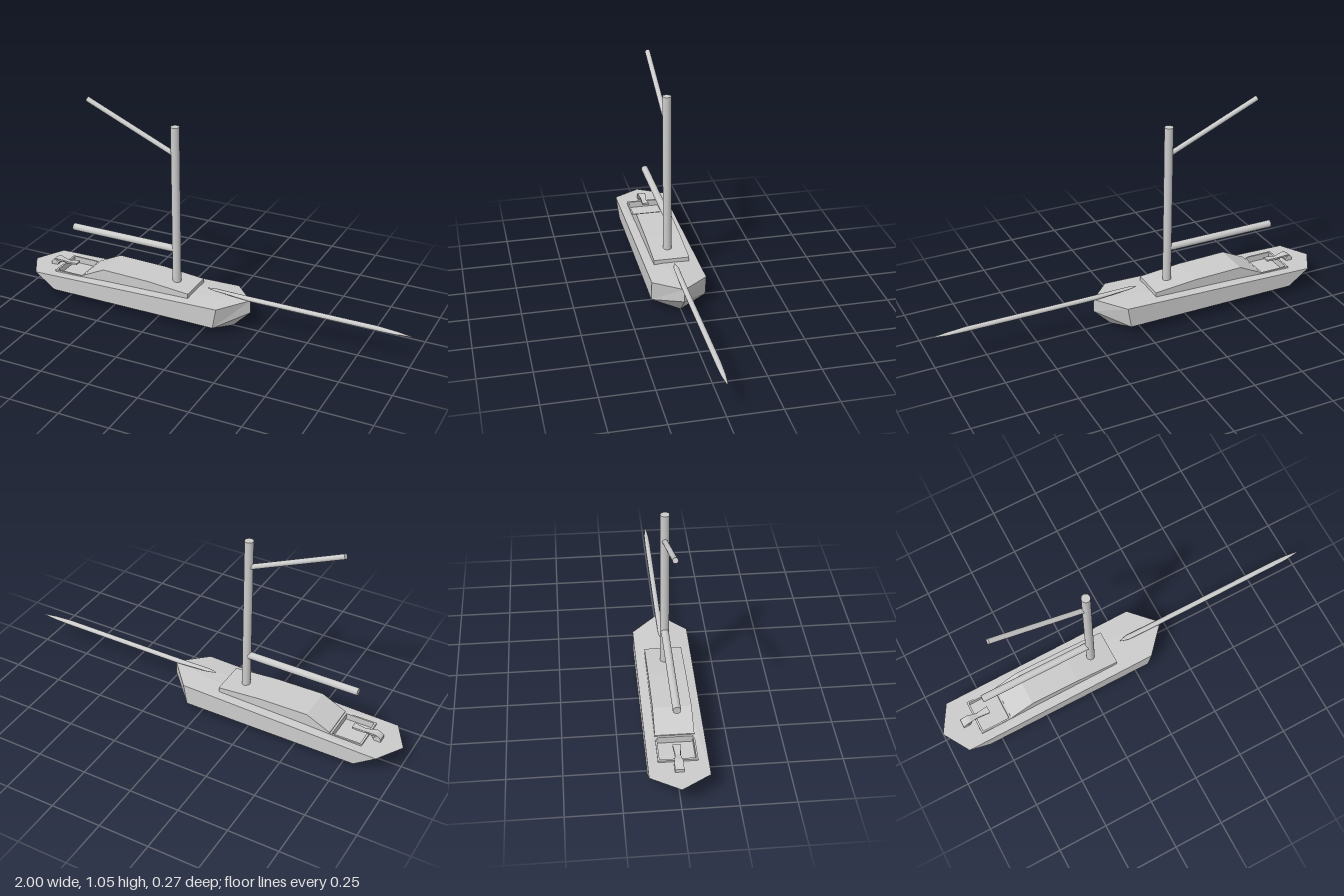
import * as THREE from 'three';

const flat = new THREE.MeshStandardMaterial({ color: 0xcccccc, flatShading: true, side: THREE.DoubleSide });
const smooth = new THREE.MeshStandardMaterial({ color: 0xcccccc });

const deckY = (x) => 0.114 + 0.027 * (x + 1) + Math.max(0, x - 0.085) * 0.08;

function add(parent, name, geometry, material = flat) {
  const mesh = new THREE.Mesh(geometry, material);
  mesh.name = name;
  parent.add(mesh);
  return mesh;
}

function box(parent, name, x0, x1, y0, y1, z0, z1) {
  const mesh = add(parent, name, new THREE.BoxGeometry(x1 - x0, y1 - y0, z1 - z0));
  mesh.position.set((x0 + x1) / 2, (y0 + y1) / 2, (z0 + z1) / 2);
}

// Round pole between two points in the centre plane
function pole(parent, name, x0, y0, x1, y1, r) {
  const mesh = add(parent, name, new THREE.CylinderGeometry(r, r, Math.hypot(x1 - x0, y1 - y0), 24), smooth);
  mesh.position.set((x0 + x1) / 2, (y0 + y1) / 2, 0);
  mesh.rotation.z = Math.atan2(y1 - y0, x1 - x0) - Math.PI / 2;
}

function polygon(points) {
  const shape = new THREE.Shape();
  points.forEach(([x, y], i) => (i ? shape.lineTo(x, y) : shape.moveTo(x, y)));
  return shape;
}

// Faceted hull: one half described by corners, then mirrored
function hullGeometry() {
  const p = {
    sternTip: [-1, deckY(-1), 0], bowTip: [0.205, deckY(0.205), 0], stem: [0.205, 0.09, 0],
    keelStern: [-0.83, 0.009, 0], keelBow: [0.117, 0, 0],
    chineStern: [-0.815, 0.04, 0.133], chineBow: [0.067, 0.04, 0.133],
    edgeStern: [-0.92, deckY(-0.92), 0.133], edgeBow: [0.085, deckY(0.085), 0.133],
  };
  const faces = [
    ['chineStern', 'chineBow', 'edgeBow', 'edgeStern'],
    ['chineBow', 'stem', 'bowTip', 'edgeBow'],
    ['keelStern', 'keelBow', 'chineBow', 'chineStern'],
    ['keelBow', 'stem', 'chineBow'],
    ['sternTip', 'chineStern', 'edgeStern'],
    ['sternTip', 'keelStern', 'chineStern'],
  ];
  const pos = [];
  for (const side of [1, -1]) {
    for (const face of faces) {
      const c = side > 0 ? face : [...face].reverse();
      for (let i = 1; i < c.length - 1; i++) {
        for (const k of [c[0], c[i], c[i + 1]]) pos.push(p[k][0], p[k][1], p[k][2] * side);
      }
    }
  }
  const g = new THREE.BufferGeometry();
  g.setAttribute('position', new THREE.Float32BufferAttribute(pos, 3));
  g.computeVertexNormals();
  return g;
}

// Deck plate with the cockpit opening, raised to the sheer line
function deckGeometry() {
  const shape = polygon([[-1, 0], [-0.92, -0.133], [0.085, -0.133], [0.205, 0], [0.085, 0.133], [-0.92, 0.133]]);
  shape.holes.push(polygon([[-0.825, -0.084], [-0.825, 0.084], [-0.675, 0.084], [-0.675, -0.084]]));
  const g = new THREE.ShapeGeometry(shape).rotateX(-Math.PI / 2);
  const pos = g.attributes.position;
  for (let i = 0; i < pos.count; i++) pos.setY(i, deckY(pos.getX(i)));
  g.computeVertexNormals();
  return g;
}

// Spar lofted through elliptical sections: [x, centre y, half height, half width]
function loftGeometry(sections, sides = 16) {
  const pos = [], index = [], row = sides + 1;
  for (const [x, y, ry, rz] of sections) {
    for (let j = 0; j <= sides; j++) {
      const a = (j / sides) * Math.PI * 2;
      pos.push(x, y + Math.cos(a) * ry, Math.sin(a) * rz);
    }
  }
  for (let i = 0; i < sections.length - 1; i++) {
    for (let j = 0; j < sides; j++) {
      const a = i * row + j, b = a + row;
      index.push(a, a + 1, b, a + 1, b + 1, b);
    }
  }
  const g = new THREE.BufferGeometry();
  g.setAttribute('position', new THREE.Float32BufferAttribute(pos, 3));
  g.setIndex(index);
  g.computeVertexNormals();
  return g;
}

// Curved tiller, waisted between its stock and grip
function tillerGeometry() {
  const s = new THREE.Shape();
  s.moveTo(-0.895, 0.112);
  s.lineTo(-0.895, 0.132);
  s.quadraticCurveTo(-0.88, 0.152, -0.85, 0.151);
  s.lineTo(-0.81, 0.142);
  s.lineTo(-0.75, 0.147);
  s.lineTo(-0.75, 0.138);
  s.lineTo(-0.81, 0.132);
  s.quadraticCurveTo(-0.86, 0.145, -0.862, 0.112);
  const g = new THREE.ExtrudeGeometry(s, { depth: 2, bevelEnabled: false, curveSegments: 6 }).translate(0, 0, -1);
  const pos = g.attributes.position;
  for (let i = 0; i < pos.count; i++) {
    const x = pos.getX(i);
    const w = x < -0.855 ? 0.02 : 0.01 + 0.008 * Math.min(1, Math.abs(x + 0.82) / 0.07);
    pos.setZ(i, pos.getZ(i) * w);
  }
  g.computeVertexNormals();
  return g;
}

export function createModel() {
  const boat = new THREE.Group();
  boat.name = 'sailboat';

  add(boat, 'hull', hullGeometry());
  add(boat, 'deck', deckGeometry());

  // Cabin with sloping ends
  const cabin = polygon([[-0.67, 0.09], [-0.085, 0.12], [-0.085, 0.165], [-0.3, 0.184], [-0.55, 0.19], [-0.67, 0.132]]);
  add(boat, 'cabin', new THREE.ExtrudeGeometry(cabin, { depth: 0.176, bevelEnabled: false }).translate(0, 0, -0.088));

  // Cockpit well: floor and a thin coaming all round
  const cockpit = new THREE.Group();
  cockpit.name = 'cockpit';
  boat.add(cockpit);
  box(cockpit, 'cockpitFloor', -0.83, -0.67, 0.085, 0.095, -0.088, 0.088);
  box(cockpit, 'aftCoaming', -0.83, -0.82, 0.09, 0.127, -0.088, 0.088);
  box(cockpit, 'forwardCoaming', -0.68, -0.67, 0.09, 0.127, -0.088, 0.088);
  for (const s of [-1, 1]) box(cockpit, 'sideCoaming', -0.82, -0.68, 0.09, 0.127, s * 0.084 - 0.004, s * 0.084 + 0.004);

  add(boat, 'tiller', tillerGeometry());

  // Mast and spars
  pole(boat, 'mast', -0.187, 0.165, -0.187, 0.975, 0.021);
  pole(boat, 'boom', -0.76, 0.346, -0.19, 0.346, 0.018);
  pole(boat, 'gaff', -0.65, 1.038, -0.19, 0.837, 0.0125);

  // Bowsprit, pared to a sliver at both ends
  add(boat, 'bowsprit', loftGeometry([
    [-0.02, 0.172, 0.001, 0.003], [0.02, 0.171, 0.003, 0.013], [0.2, 0.164, 0.012, 0.013],
    [0.84, 0.166, 0.012, 0.013], [0.93, 0.164, 0.007, 0.011], [1, 0.163, 0.001, 0.003],
  ]), smooth);

  return boat;
}
